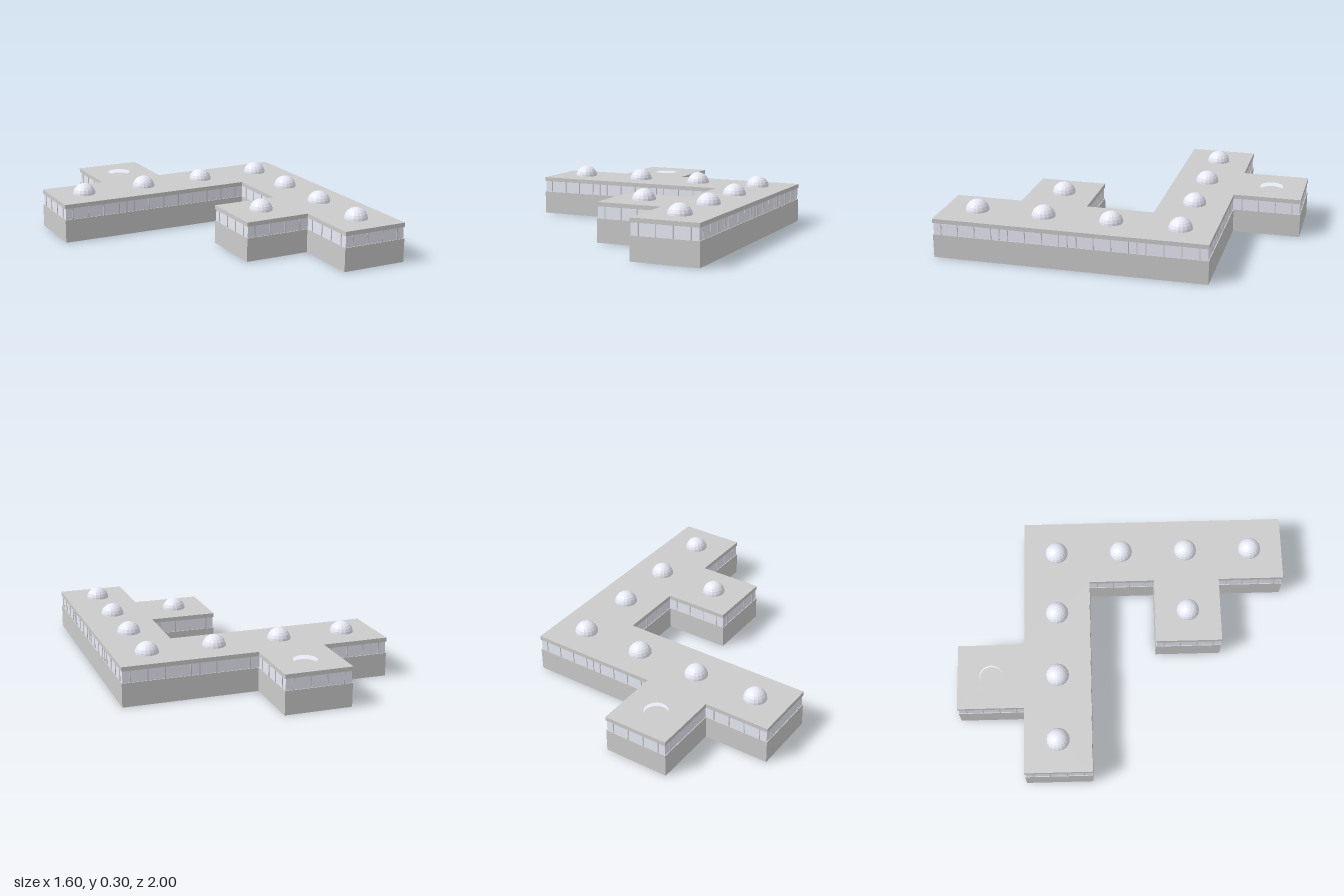
import * as THREE from 'three';

const CELL = 0.4, WALL_TOP = 0.14, GLASS_TOP = 0.21, ROOF_TOP = 0.235, DOME_R = 0.07;

// Footprint corners (x, z), walked with the interior on the +90 degree side
const OUTLINE = [
  [-0.8, -0.6], [-0.4, -0.6], [-0.4, -1], [0, -1], [0, -0.6], [0.8, -0.6], [0.8, 1],
  [0.4, 1], [0.4, 0.6], [0, 0.6], [0, 0.2], [0.4, 0.2], [0.4, -0.2], [-0.8, -0.2],
];
const DOMES = [
  [-0.6, -0.4], [-0.2, -0.4], [0.2, -0.4], [0.6, -0.4],
  [0.6, 0], [0.6, 0.4], [0.2, 0.4], [0.6, 0.8],
];
const SKYLIGHT = [-0.2, -0.8];

const edge = (i) => {
  const n = OUTLINE.length;
  const a = OUTLINE[(i + n) % n], b = OUTLINE[(i + 1 + n) % n];
  const length = Math.hypot(b[0] - a[0], b[1] - a[1]);
  const dir = [(b[0] - a[0]) / length, (b[1] - a[1]) / length];
  return { a, length, dir, inward: [-dir[1], dir[0]] };
};

// Footprint moved inward by d
const inset = (d) => OUTLINE.map(([x, z], i) => {
  const p = edge(i - 1).inward, q = edge(i).inward;
  return [x + d * (p[0] + q[0]), z + d * (p[1] + q[1])];
});

// Horizontal slab of the given footprint between two heights
function slab(points, y0, y1, hole) {
  const shape = new THREE.Shape(points.map(([x, z]) => new THREE.Vector2(x, -z)));
  if (hole) {
    const path = new THREE.Path();
    path.absarc(hole[0], -hole[1], DOME_R, 0, Math.PI * 2, true);
    shape.holes.push(path);
  }
  const geo = new THREE.ExtrudeGeometry(shape, { depth: y1 - y0, bevelEnabled: false, curveSegments: 16 });
  return geo.rotateX(-Math.PI / 2).translate(0, y0, 0);
}

export function createModel() {
  const group = new THREE.Group();
  const grey = new THREE.MeshStandardMaterial({ color: 0xcccccc });
  const glass = new THREE.MeshStandardMaterial({ color: 0xe8eaf6 });
  const domeGlass = new THREE.MeshStandardMaterial({ color: 0xe8eaf6, flatShading: true });
  const add = (name, geo, mat, parent = group) => {
    const mesh = new THREE.Mesh(geo, mat);
    mesh.name = name;
    parent.add(mesh);
    return mesh;
  };

  add('walls', slab(OUTLINE, 0, WALL_TOP), grey);
  add('windowBand', slab(inset(0.005), WALL_TOP, GLASS_TOP), glass);
  add('roof', slab(OUTLINE, GLASS_TOP, ROOF_TOP, SKYLIGHT), grey);

  // Window posts: slim ones between panes, one at each module joint
  const posts = new THREE.Group();
  posts.name = 'windowPosts';
  group.add(posts);
  const height = GLASS_TOP - WALL_TOP;
  OUTLINE.forEach((_, i) => {
    const { a, dir, inward, length } = edge(i);
    const cells = Math.round(length / CELL);
    for (let c = 0; c < cells; c++) {
      for (const t of [0, 0.05, 0.15, 0.25, 0.35]) {
        if (c === 0 && t === 0) continue;
        const s = c * CELL + t, w = 0.005, d = 0.006;
        const along = dir[0] !== 0;
        const post = add('windowPost', new THREE.BoxGeometry(along ? w : d, height, along ? d : w), grey, posts);
        post.position.set(
          a[0] + dir[0] * s + inward[0] * 0.0045,
          (WALL_TOP + GLASS_TOP) / 2,
          a[1] + dir[1] * s + inward[1] * 0.0045,
        );
      }
    }
  });

  // Roof domes
  const domeGeo = new THREE.SphereGeometry(DOME_R, 16, 6, 0, Math.PI * 2, 0, Math.PI / 2);
  for (const [x, z] of DOMES) add('roofDome', domeGeo, domeGlass).position.set(x, 0.23, z);

  // Floor of the open round skylight
  const floor = add('skylightFloor', new THREE.CircleGeometry(DOME_R, 32).rotateX(-Math.PI / 2), grey);
  floor.position.set(SKYLIGHT[0], GLASS_TOP + 0.001, SKYLIGHT[1]);

  return group;
}
